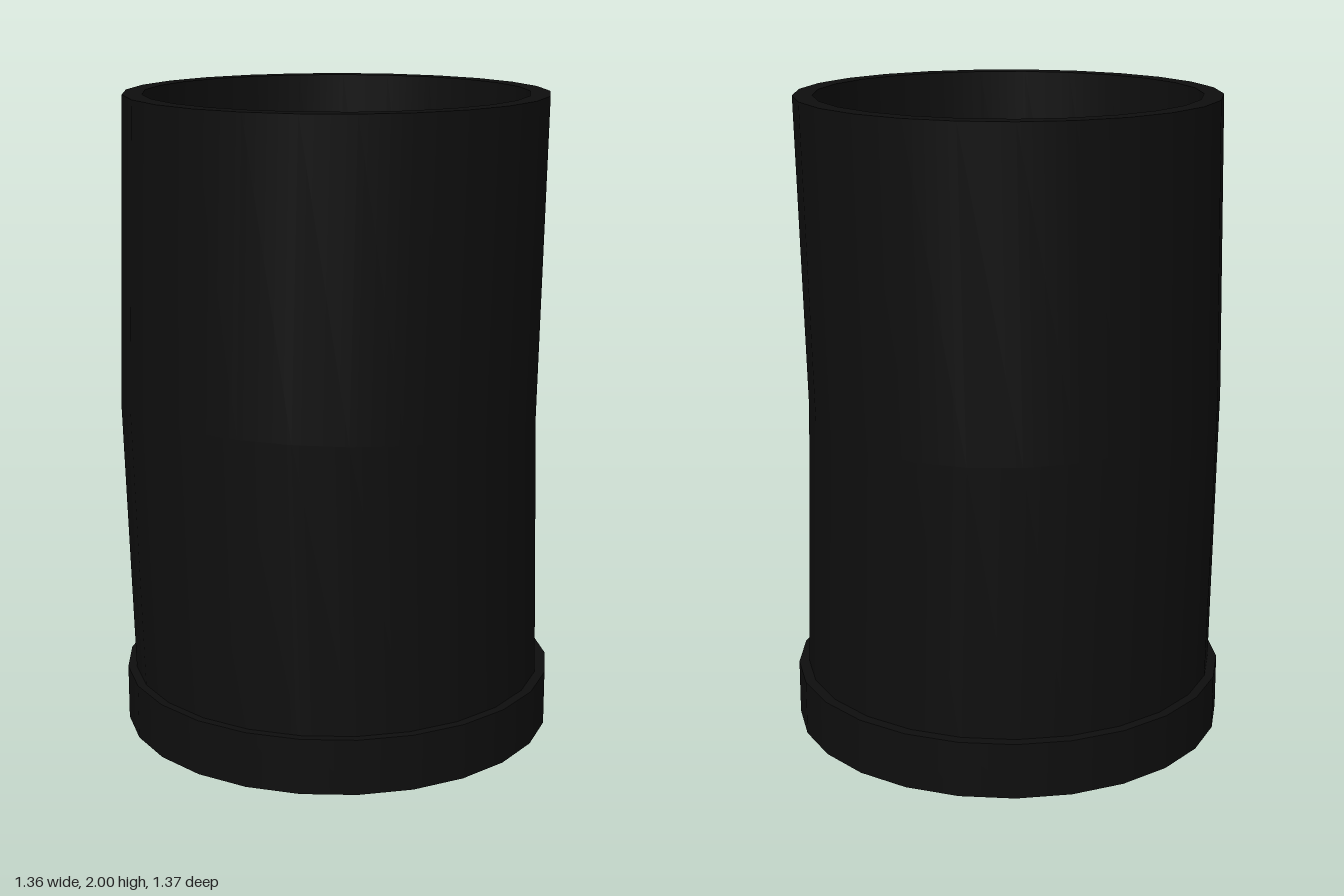
import * as THREE from 'three';
import { mergeGeometries } from 'three/addons/utils/BufferGeometryUtils.js';

const SIDES = 25;
const MID = 1.04;

// Each profile is a separate run, so the corners between runs stay sharp.
function turned(profiles) {
  return mergeGeometries(profiles.map((p) =>
    new THREE.LatheGeometry(p.map(([r, y]) => new THREE.Vector2(r, y)), SIDES, Math.PI)));
}

// Hollow wall: outside, top rim, inside, bottom rim.
function hollow(outer, inner, heights) {
  const low = heights[0], high = heights[heights.length - 1];
  return turned([
    heights.map((y) => [outer, y]),
    [[outer, high], [inner, high]],
    [...heights].reverse().map((y) => [inner, y]),
    [[inner, low], [outer, low]],
  ]);
}

// Push the middle of the tube forward and tilt that section slightly.
function bend(geometry, low, high) {
  const p = geometry.attributes.position;
  for (let i = 0; i < p.count; i++) {
    const y = p.getY(i), z = p.getZ(i);
    const f = y > MID ? (high - y) / (high - MID) : (y - low) / (MID - low);
    p.setXYZ(i, p.getX(i), y + 0.06 * z * f, z - 0.005 + 0.045 * f);
  }
  return geometry;
}

export function createModel() {
  const model = new THREE.Group();
  const black = new THREE.MeshStandardMaterial({ color: 0x0e0e0e });
  black.name = 'black';
  const add = (name, geometry) => {
    const mesh = new THREE.Mesh(geometry, black);
    mesh.name = name;
    model.add(mesh);
    return mesh;
  };

  // Bent tube
  add('tube', bend(hollow(0.65, 0.59, [0.13, MID, 2]), 0.13, 2));

  // Base collar
  add('baseCollar', hollow(0.68, 0.62, [0, 0.175])).position.z = -0.007;

  // Inner floor closing the tube
  const floor = add('innerFloor', turned([
    [[0.6, 0.67], [0, 0.67]],
    [[0, 0.63], [0.6, 0.63]],
  ]));
  floor.position.z = 0.015;

  // Small arched grip on the floor
  const arch = new THREE.CylinderGeometry(0.17, 0.17, 0.11, 24, 1, false, 0, Math.PI);
  arch.rotateZ(Math.PI / 2);
  add('archedGrip', arch).position.set(0, 0.67, -0.005);

  return model;
}
